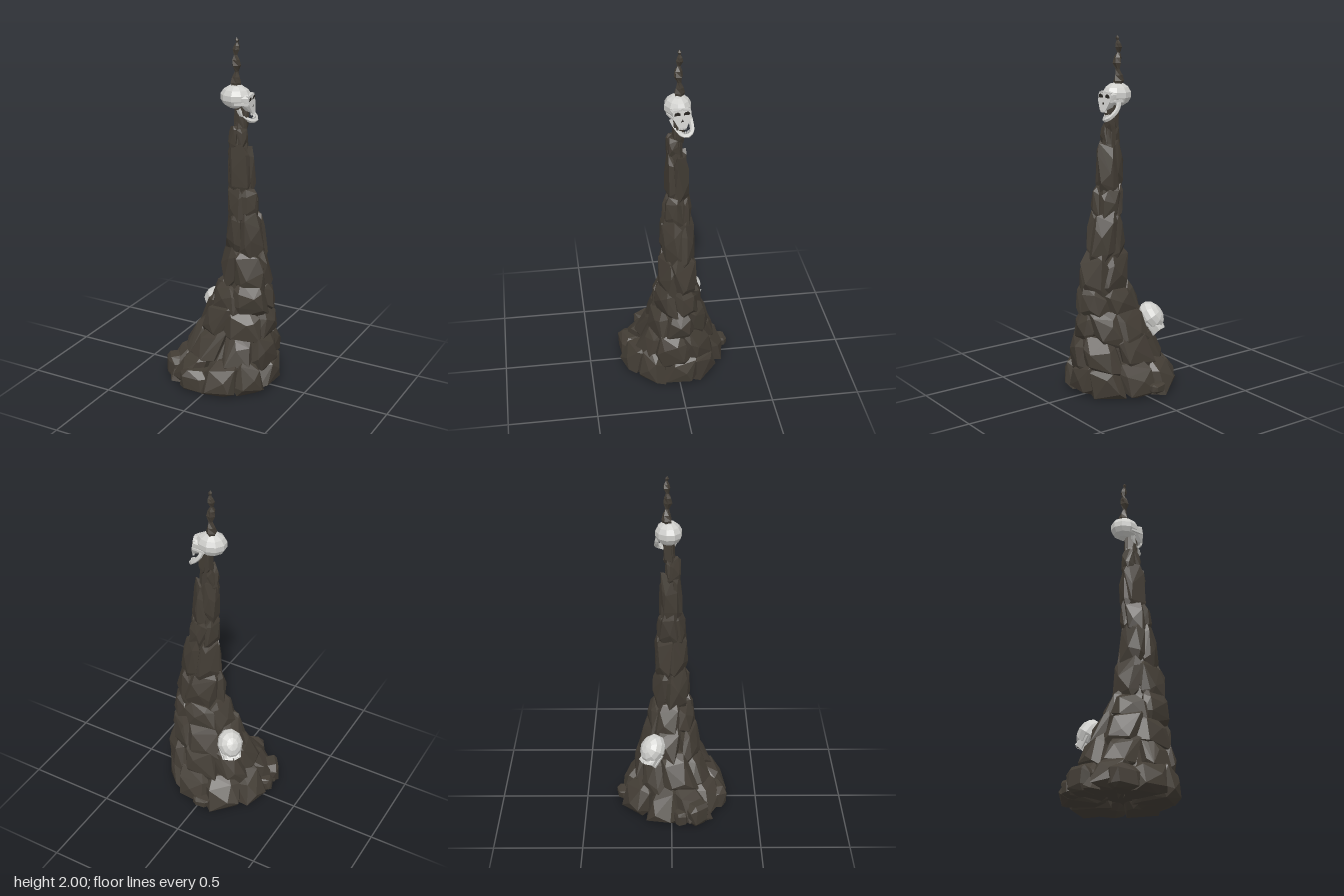
import * as THREE from 'three';
import { ConvexGeometry } from 'three/addons/geometries/ConvexGeometry.js';

const flat = (name, color, side = THREE.FrontSide) => {
  const m = new THREE.MeshStandardMaterial({ color, flatShading: true, side });
  m.name = name;
  return m;
};
const stone = flat('darkStone', 0x433d35);
const bone = flat('paleBone', 0xcfcfcc);
const hollow = flat('darkHollow', 0x2c2925, THREE.DoubleSide);

// Small seeded random numbers
let seed = 29;
const rnd = (a = 0, b = 1) => {
  seed = (seed * 16807) % 2147483647;
  return a + (b - a) * (seed / 2147483647);
};

const V = (x, y, z) => new THREE.Vector3(x, y, z);
function add(parent, name, geometry, material, pos = [0, 0, 0], rot = [0, 0, 0]) {
  const m = new THREE.Mesh(geometry, material);
  m.name = name;
  m.position.set(...pos);
  m.rotation.set(...rot);
  parent.add(m);
  return m;
}

// Outline of the leaning spire: y, xMin, xMax, zMin, zMax
const outline = [
  [0, -0.32, 0.32, -0.29, 0.32], [0.08, -0.31, 0.32, -0.28, 0.31], [0.2, -0.23, 0.315, -0.23, 0.24],
  [0.3, -0.18, 0.31, -0.2, 0.18], [0.4, -0.14, 0.305, -0.17, 0.15], [0.48, -0.1, 0.295, -0.145, 0.14],
  [0.6, -0.04, 0.285, -0.12, 0.12], [0.8, -0.01, 0.26, -0.1, 0.095], [1, 0.025, 0.205, -0.09, 0.09],
  [1.18, 0.01, 0.178, -0.075, 0.068], [1.38, 0.01, 0.16, -0.065, 0.058], [1.46, 0.018, 0.13, -0.035, 0.058],
  [1.56, 0.04, 0.125, -0.05, 0.02], [1.64, 0.045, 0.115, -0.05, 0.015],
];
function section(y) {
  let i = 0;
  while (i < outline.length - 2 && y > outline[i + 1][0]) i++;
  const a = outline[i], b = outline[i + 1];
  const t = THREE.MathUtils.clamp((y - a[0]) / (b[0] - a[0]), 0, 1);
  return a.map((v, k) => THREE.MathUtils.lerp(v, b[k], t));
}
function onSpire(angle, y, w, sectionY = y) {
  const [, x0, x1, z0, z1] = section(sectionY);
  return V((x0 + x1) / 2 + Math.cos(angle) * w * (x1 - x0) / 2, Math.max(0.005, y),
    (z0 + z1) / 2 + Math.sin(angle) * w * (z1 - z0) / 2);
}

// Points of a box with all its edges randomly bevelled
function chippedBox() {
  const pts = [];
  for (let c = 0; c < 8; c++) {
    for (let k = 0; k < 3; k++) {
      const corner = [c & 1 ? 1 : -1, c & 2 ? 1 : -1, c & 4 ? 1 : -1];
      pts.push(corner.map((s, axis) => (axis === k ? s * rnd(0.92, 1) : s * rnd(0.35, 0.75))));
    }
  }
  return pts;
}

// A rock bent to fit its place in a ring; "upright" keeps its sides from following the slope
function ringRock(angle, da, y0, y1, grow, upright) {
  const pts = [...chippedBox(), [rnd(-0.3, 0.3), rnd(-0.3, 0.3), 1.04]];
  const lean = rnd(-0.22, 0.22);
  const mid = (y0 + y1) / 2;
  return new ConvexGeometry(pts.map(([u, v, w]) => {
    const y = mid + (v + lean * u) * (y1 - y0) / 2;
    return onSpire(angle + (u + lean * v) * da, y, (0.6 + 0.4 * w) * grow, THREE.MathUtils.lerp(y, mid, upright));
  }));
}

function looseRock(sx, sy, sz) {
  return new ConvexGeometry(chippedBox().map(([x, y, z]) => V(x * sx, y * sy, z * sz)));
}

function buildSpire() {
  const g = new THREE.Group();
  g.name = 'rockSpire';

  // Inner core closing the gaps between rocks
  const core = new THREE.CylinderGeometry(1, 1, 1.6, 9, 14);
  const p = core.attributes.position;
  for (let i = 0; i < p.count; i++) {
    const y = p.getY(i) + 0.84;
    const r = Math.hypot(p.getX(i), p.getZ(i));
    const q = onSpire(Math.atan2(p.getZ(i), p.getX(i)), y, 0.72 * r);
    p.setXYZ(i, q.x, q.y, q.z);
  }
  add(g, 'spireCore', core, stone);

  // Rings of rocks: bottom, top, count, uprightness
  const rings = [
    [-0.02, 0.2, 9, 0.1], [0.14, 0.36, 7, 0.15], [0.29, 0.5, 6, 0.15], [0.44, 0.62, 5, 0.3], [0.57, 0.82, 4, 0.6],
    [0.79, 1.03, 4, 0.5], [1, 1.18, 4, 0.6], [1.16, 1.41, 3, 0.6], [1.4, 1.52, 3, 0.7], [1.49, 1.65, 3, 0.6],
  ];
  rings.forEach(([y0, y1, n, upright], r) => {
    const h = y1 - y0;
    for (let i = 0; i < n; i++) {
      const angle = (i + rnd(-0.14, 0.14)) / n * Math.PI * 2 + r * 1.1;
      const low = r ? y0 + rnd(-0.14, 0.04) * h : y0;
      const rock = ringRock(angle, Math.PI / n * rnd(1.1, 1.28), low, y1 + rnd(-0.05, 0.14) * h, rnd(1, 1.06), upright);
      add(g, 'spireRock', rock, stone);
    }
  });

  // Loose rocks at the foot
  [
    [-0.03, 0.06, -0.27, 0.05, 0.028, 0.05, 0.2], [-0.27, 0.05, 0.045, 0.055, 0.045, 0.035, 0.3],
    [-0.235, 0.07, 0.13, 0.08, 0.068, 0.07, 0.6], [-0.07, 0.07, 0.24, 0.085, 0.068, 0.08, 0.1],
  ].forEach(([x, y, z, sx, sy, sz, ry]) =>
    add(g, 'footRock', looseRock(sx, sy, sz), stone, [x, y, z], [0, ry, 0]));
  return g;
}

// Crooked, knotted spike at the top
function buildSpike() {
  const profile = [[0, 1.62], [0.028, 1.63], [0.024, 1.72], [0.03, 1.755], [0.022, 1.785], [0.011, 1.815],
    [0.025, 1.85], [0.021, 1.88], [0.009, 1.905], [0.02, 1.935], [0.015, 1.955], [0.006, 1.972], [0.011, 1.985], [0, 2]];
  const geo = new THREE.LatheGeometry(profile.map(([r, y]) => new THREE.Vector2(r, y)), 5);
  const p = geo.attributes.position;
  for (let i = 0; i < p.count; i++) {
    const y = p.getY(i), twist = y * 9;
    const x = p.getX(i), z = p.getZ(i);
    p.setXYZ(i, x * Math.cos(twist) - z * Math.sin(twist) + 0.004 * Math.sin(y * 42), y,
      x * Math.sin(twist) + z * Math.cos(twist) + 0.004 * Math.cos(y * 37));
  }
  geo.computeVertexNormals();
  return add(new THREE.Group(), 'topSpike', geo, stone, [0.044, 0, -0.022]);
}

// Skull facing +z, centred on the braincase
function buildSkull(name, withJaw) {
  const g = new THREE.Group();
  g.name = name;
  const dome = new THREE.SphereGeometry(1, 10, 7);
  const p = dome.attributes.position;
  for (let i = 0; i < p.count; i++) {
    const y = p.getY(i), z = p.getZ(i);
    const wide = 1 - 0.12 * Math.max(0, z);
    p.setXYZ(i, p.getX(i) * 0.075 * wide, y * 0.066, z * 0.088);
  }
  dome.computeVertexNormals();
  add(g, 'braincase', dome, bone);

  // Sloping face plate with the features set on it
  const slope = 0.2;
  const faceZ = (y) => 0.088 - slope * y;
  const tilt = Math.atan(slope);
  const facePoints = [];
  for (const s of [-1, 1]) {
    for (const [x, y] of [[0.034, 0.024], [0.05, 0.006], [0.047, -0.03], [0.026, -0.05], [0.021, -0.08]]) {
      facePoints.push(V(s * x, y, faceZ(y)), V(s * x * 1.1, y * 0.8, 0.05));
    }
  }
  add(g, 'face', new ConvexGeometry(facePoints), bone);
  for (const s of [-1, 1]) {
    add(g, 'eyeSocket', new THREE.CircleGeometry(0.018, 7), hollow,
      [s * 0.026, -0.007, faceZ(-0.007) + 0.002], [tilt, 0, s * 0.3]);
    add(g, 'browRidge', new THREE.BoxGeometry(0.044, 0.009, 0.014), bone, [s * 0.024, 0.017, 0.086], [0, s * 0.25, -s * 0.2]);
    add(g, 'cheekbone', new THREE.BoxGeometry(0.01, 0.012, 0.08), bone, [s * 0.054, -0.028, 0.052], [0, -s * 0.2, 0]);
  }
  const nose = new THREE.Shape([[0, 0.013], [-0.01, -0.01], [0.01, -0.01]].map(([x, y]) => new THREE.Vector2(x, y)));
  add(g, 'noseHole', new THREE.ShapeGeometry(nose), hollow, [0, -0.042, faceZ(-0.042) + 0.002], [tilt, 0, 0]);
  for (let i = -2; i <= 2; i++) {
    add(g, 'upperTooth', new THREE.BoxGeometry(0.007, 0.014, 0.008), bone, [i * 0.009, -0.083, 0.1 - Math.abs(i) * 0.002]);
  }

  // Hanging, crooked lower jaw
  if (withJaw) {
    const jaw = new THREE.Group();
    jaw.name = 'lowerJaw';
    const path = new THREE.CatmullRomCurve3([
      [-0.05, -0.04, 0.03], [-0.046, -0.085, 0.045], [-0.027, -0.126, 0.09], [0, -0.133, 0.104],
      [0.027, -0.126, 0.09], [0.046, -0.085, 0.045], [0.05, -0.04, 0.03],
    ].map((a) => V(...a)));
    add(jaw, 'jawBone', new THREE.TubeGeometry(path, 14, 0.013, 5), bone);
    for (let i = -2; i <= 2; i++) {
      add(jaw, 'lowerTooth', new THREE.BoxGeometry(0.007, 0.014, 0.007), bone, [i * 0.009, -0.116, 0.102 - Math.abs(i) * 0.003]);
    }
    jaw.rotation.z = 0.33;
    jaw.position.x = -0.012;
    g.add(jaw);
  }
  g.rotation.order = 'YXZ';
  return g;
}

export function createModel() {
  const model = new THREE.Group();
  model.name = 'skullSpire';
  model.add(buildSpire(), buildSpike());

  const top = buildSkull('topSkull', true);
  top.position.set(0.047, 1.68, -0.015);
  top.rotation.y = Math.PI / 2 + 0.12;
  model.add(top);

  // Skull half sunk into the back of the mound
  const low = buildSkull('moundSkull', false);
  low.position.set(-0.125, 0.418, -0.108);
  low.rotation.set(0.95, -Math.PI * 0.75, 0);
  model.add(low);
  return model;
}
